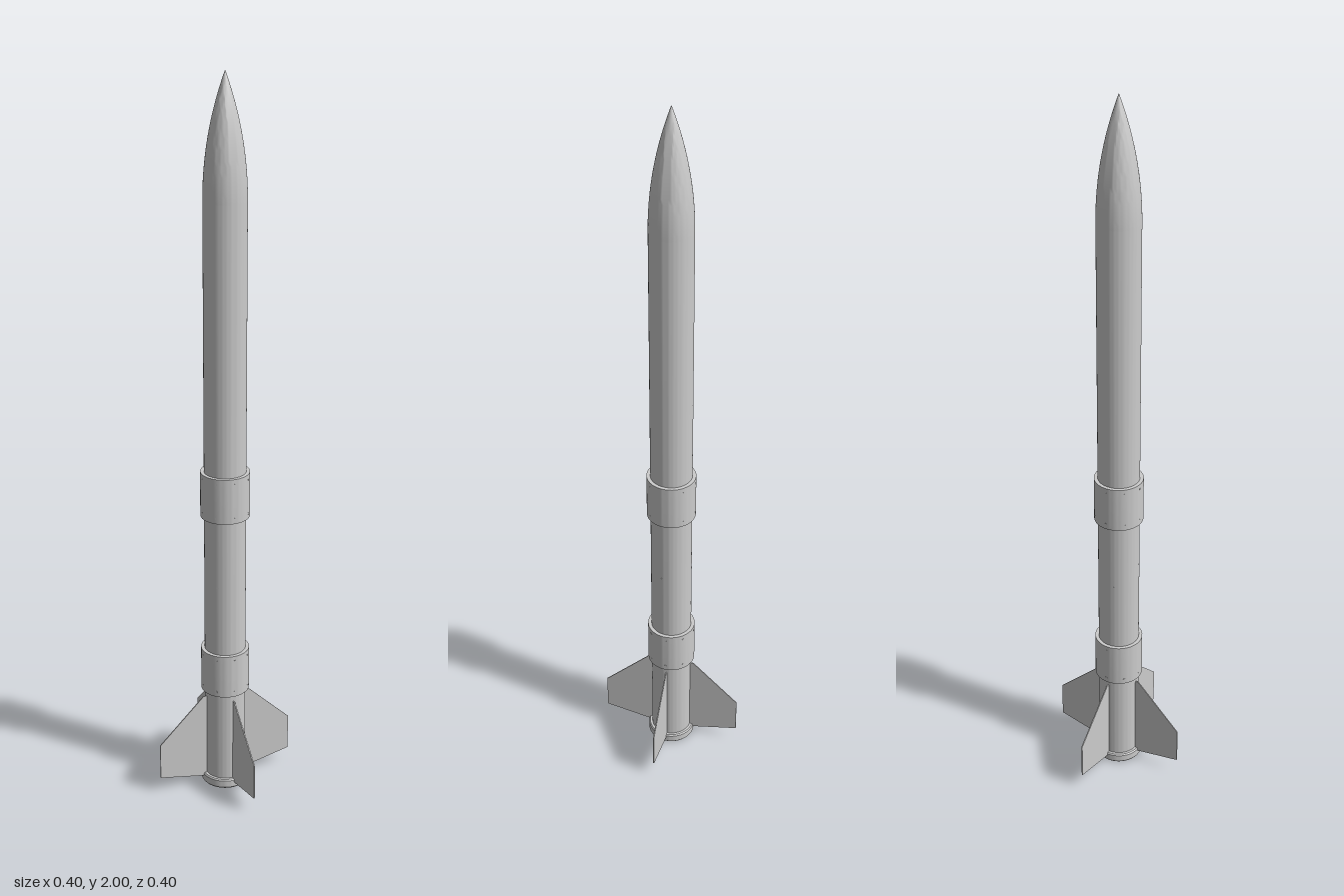
import * as THREE from 'three';
import { toCreasedNormals } from 'three/addons/utils/BufferGeometryUtils.js';

const BODY_R = 0.057, COLLAR_R = 0.067;

export function createModel() {
  const rocket = new THREE.Group();
  rocket.name = 'rocket';
  const grey = new THREE.MeshStandardMaterial({ color: 0xcccccc });
  grey.name = 'light grey';

  const add = (name, geometry, parent = rocket) => {
    const mesh = new THREE.Mesh(geometry, grey);
    mesh.name = name;
    parent.add(mesh);
    return mesh;
  };
  // Turned part with crisp edges; profile runs bottom to top as [radius, y]
  const turned = (name, profile) => add(name, toCreasedNormals(
    new THREE.LatheGeometry(profile.map(([r, y]) => new THREE.Vector2(r, y)), 64), 0.5));

  // Airframe tube
  turned('bodyTube', [[BODY_R, 0.02], [BODY_R, 1.68]]);

  // Ogive nose cone
  const noseH = 0.32, rho = (BODY_R ** 2 + noseH ** 2) / (2 * BODY_R);
  const nose = [];
  for (let i = 0; i <= 24; i++) {
    const h = noseH * i / 24;
    nose.push([Math.max(0, Math.sqrt(rho * rho - h * h) + BODY_R - rho), 1.68 + h]);
  }
  turned('noseCone', nose);

  // Tail ring with a recessed motor opening
  turned('tailRing', [[0, 0.09], [0.043, 0.09], [0.043, 0], [0.064, 0],
    [COLLAR_R, 0.004], [COLLAR_R, 0.024], [0.064, 0.028], [BODY_R - 0.002, 0.028]]);

  // Coupler collars with rings of small screws
  for (const [name, y0, y1] of [['lowerCollar', 0.298, 0.425], ['upperCollar', 0.825, 0.953]]) {
    turned(name, [[BODY_R - 0.002, y0], [COLLAR_R, y0], [COLLAR_R, y1], [BODY_R - 0.002, y1]]);
    for (const y of [y0 + 0.015, y1 - 0.015]) {
      for (let i = 0; i < 8; i++) stud(name + 'Screw', i * Math.PI / 4, y, COLLAR_R);
    }
  }

  // Three vent plugs
  for (let i = 0; i < 3; i++) stud('ventPlug', Math.PI / 12 + i * Math.PI * 2 / 3, 0.63, BODY_R);

  function stud(name, angle, y, radius) {
    const pivot = new THREE.Group();
    pivot.name = name;
    pivot.rotation.y = -angle;
    const head = add(name + 'Head', new THREE.CylinderGeometry(0.003, 0.003, 0.003, 10), pivot);
    head.rotation.z = -Math.PI / 2;
    head.position.set(radius - 0.001, y, 0);
    rocket.add(pivot);
  }

  // Four thin swept fins
  const outline = new THREE.Shape([[0.05, 0.02], [0.067, 0.018], [0.2, 0.045], [0.2, 0.15], [0.067, 0.278], [0.05, 0.278]]
    .map(([x, y]) => new THREE.Vector2(x, y)));
  const finGeometry = new THREE.ExtrudeGeometry(outline, { depth: 0.003, bevelEnabled: false });
  finGeometry.translate(0, 0, -0.0015);
  for (let i = 0; i < 4; i++) add('fin', finGeometry).rotation.y = i * Math.PI / 2;

  return rocket;
}
